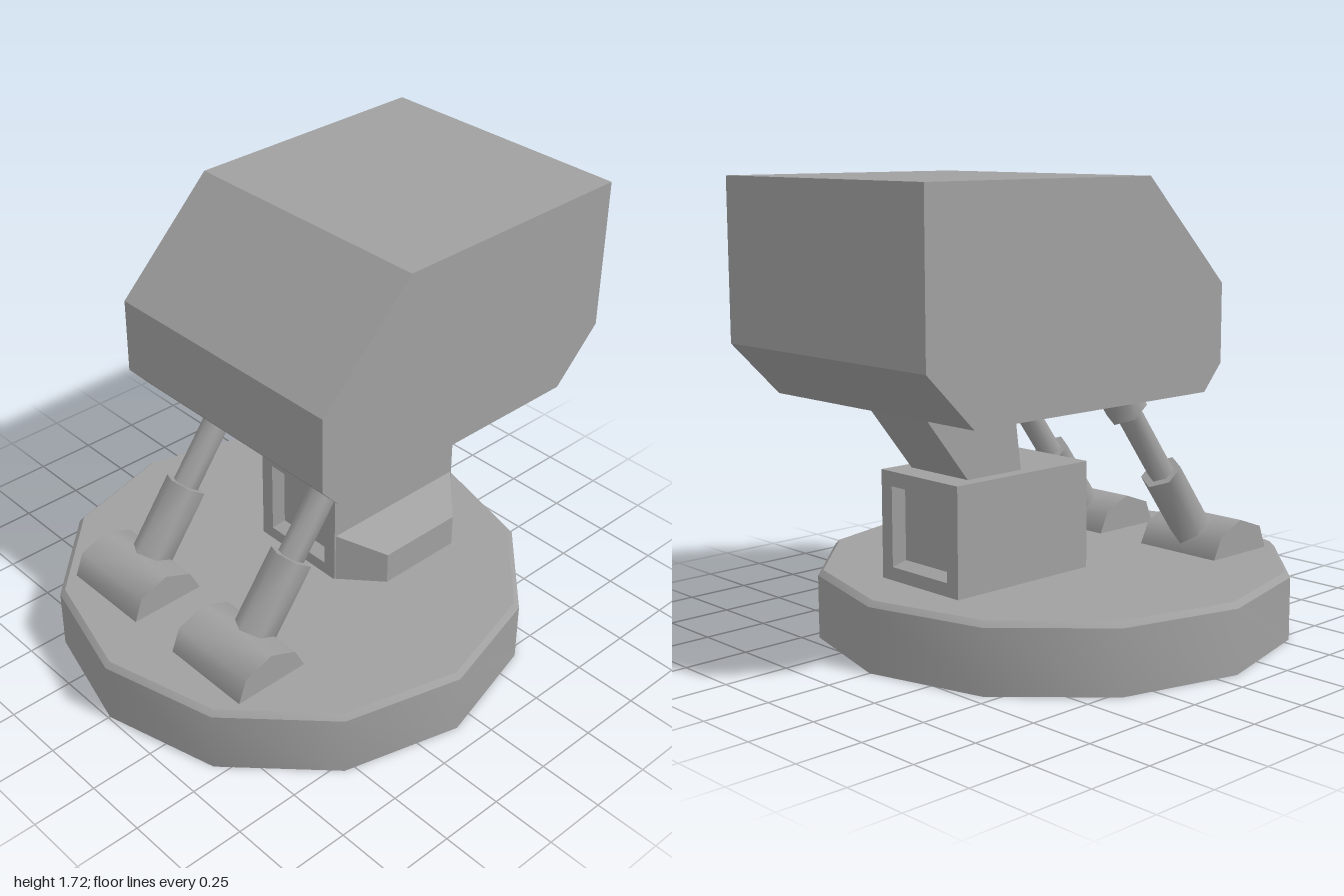
import * as THREE from 'three';
import { toCreasedNormals } from 'three/addons/utils/BufferGeometryUtils.js';

const grey = new THREE.MeshStandardMaterial({ color: 0xa0a0a0 });
grey.name = 'grey';

// Side profile of [z, y] points, extruded across x around its centre
function sideExtrude(points, width, crease) {
  const shape = new THREE.Shape(points.map(([z, y]) => new THREE.Vector2(z, y)));
  const geo = new THREE.ExtrudeGeometry(shape, { depth: width, bevelEnabled: false });
  geo.translate(0, 0, -width / 2).rotateY(-Math.PI / 2);
  return toCreasedNormals(geo, crease);
}

// Flat-sided skin over four-cornered loops, capped at both ends
function loft(loops) {
  const pos = [];
  const quad = (a, b, c, d) => pos.push(...a, ...b, ...c, ...a, ...c, ...d);
  quad(...loops[0]);
  for (let k = 0; k < loops.length - 1; k++) {
    const a = loops[k], b = loops[k + 1];
    for (let i = 0; i < 4; i++) {
      const j = (i + 1) % 4;
      quad(a[i], b[i], b[j], a[j]);
    }
  }
  quad(...[...loops[loops.length - 1]].reverse());
  const geo = new THREE.BufferGeometry();
  geo.setAttribute('position', new THREE.Float32BufferAttribute(pos, 3));
  geo.computeVertexNormals();
  return geo;
}

export function createModel() {
  const model = new THREE.Group();
  const add = (name, geo, parent = model) => {
    const mesh = new THREE.Mesh(geo, grey);
    mesh.name = name;
    parent.add(mesh);
    return mesh;
  };

  // Twelve-sided base with a small top bevel
  const profile = [[0, 0], [0.908, 0], [0.908, 0.24], [0.888, 0.26], [0, 0.26]];
  const base = new THREE.LatheGeometry(profile.map(p => new THREE.Vector2(...p)), 12);
  add('base', toCreasedNormals(base, 0.6)).position.z = 0.085;

  // Chamfered head
  add('head', sideExtrude([[0.42, 1.03], [0.42, 1.325], [0.025, 1.72], [-1, 1.72],
    [-1, 1.13], [-0.8, 0.93], [0.33, 0.93]], 1.065, 0.1));

  // Pedestal block with a tapered recess at front and back
  const rect = (w, y0, y1, z) => [[-w, y0, z], [w, y0, z], [w, y1, z], [-w, y1, z]];
  add('pedestal', loft([
    rect(0.135, 0.33, 0.595, 0), rect(0.15, 0.31, 0.61, 0.05), rect(0.207, 0.25, 0.665, 0.05),
    rect(0.207, 0.25, 0.665, -0.59), rect(0.15, 0.31, 0.61, -0.59), rect(0.135, 0.33, 0.595, -0.54),
  ]));

  // Tapered housing on the left side of the pedestal
  const sideRect = (x, z0, z1, top) => [[x, 0.25, z0], [x, 0.25, z1], [x, top, z1], [x, top, z0]];
  add('sideHousing', loft([sideRect(0.355, -0.09, -0.45, 0.39), sideRect(0.2, 0.05, -0.59, 0.47)]));

  // Leaning neck
  const level = (y, z0, z1) => [[-0.153, y, z0], [0.153, y, z0], [0.153, y, z1], [-0.153, y, z1]];
  add('neck', loft([level(0.94, -0.272, -0.71), level(0.655, -0.235, -0.485)]));

  // Pair of feet and hexagonal pistons
  for (const side of [-1, 1]) {
    const name = side > 0 ? 'left' : 'right';
    add(name + 'Foot', sideExtrude([[0.77, 0.25], [0.77, 0.26], [0.735, 0.35], [0.617, 0.393],
      [0.504, 0.345], [0.461, 0.26], [0.461, 0.25]], 0.375, 1)).position.x = side * 0.298;

    // Piston parts measured along the axis from the top of the barrel
    const piston = new THREE.Group();
    piston.name = name + 'Piston';
    piston.position.set(side * 0.302, 0.592, 0.357);
    piston.rotation.x = -Math.atan2(0.593, 0.805);
    model.add(piston);
    for (const [part, r, from, to] of [
      ['Barrel', 0.082, -0.317, 0], ['Rod', 0.052, -0.02, 0.35], ['Collar', 0.082, 0.327, 0.5],
    ]) {
      const geo = new THREE.CylinderGeometry(r, r, to - from, 6);
      add(name + part, toCreasedNormals(geo, 1.2), piston).position.y = (from + to) / 2;
    }
  }
  return model;
}
